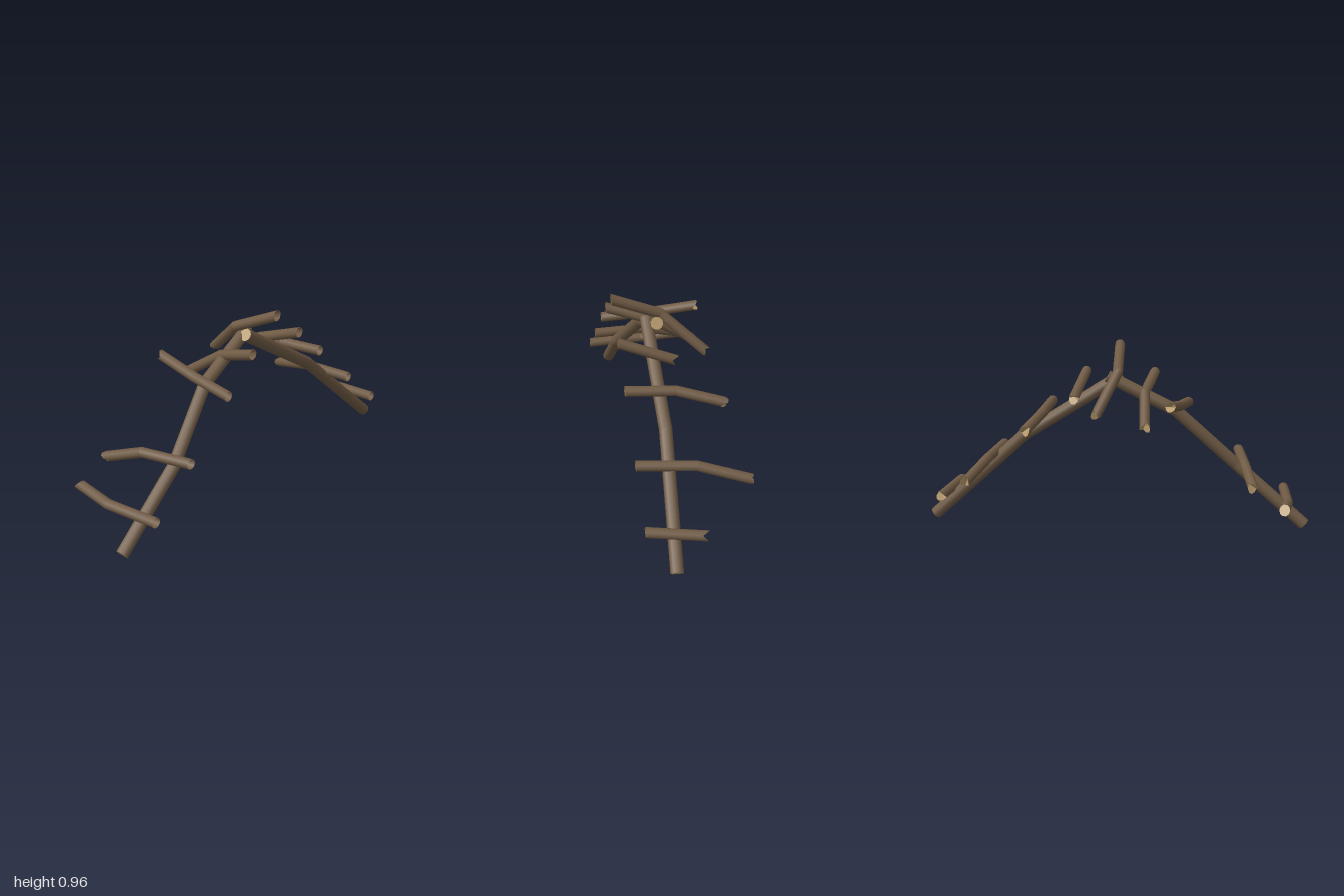
import * as THREE from 'three';

const SIDES = 10;
const bark = new THREE.MeshStandardMaterial({ color: 0x705b45, side: THREE.DoubleSide });
bark.name = 'bark';
const cutWood = new THREE.MeshStandardMaterial({ color: 0xb89b6e, side: THREE.DoubleSide });
cutWood.name = 'cut wood';

// one ring of a pole: round across dir, mitred onto the plane with the given normal
function ring(center, dir, planeNormal, radius, ref, jag) {
  const u = ref.clone().cross(dir).normalize();
  const v = dir.clone().cross(u);
  const points = [], normals = [];
  for (let k = 0; k <= SIDES; k++) {
    const a = (k / SIDES) * Math.PI * 2;
    const n = u.clone().multiplyScalar(Math.cos(a)).addScaledVector(v, Math.sin(a));
    const p = n.clone().multiplyScalar(radius);
    p.addScaledVector(dir, -p.dot(planeNormal) / dir.dot(planeNormal) + (jag ? jag(a) : 0));
    points.push(p.add(center));
    normals.push(n);
  }
  return { points, normals };
}

function capMesh(rim, center, flip) {
  const pos = [];
  for (let k = 0; k < SIDES; k++) {
    const [a, b] = flip ? [rim[k + 1], rim[k]] : [rim[k], rim[k + 1]];
    pos.push(...center.toArray(), ...a.toArray(), ...b.toArray());
  }
  const g = new THREE.BufferGeometry();
  g.setAttribute('position', new THREE.Float32BufferAttribute(pos, 3));
  g.computeVertexNormals();
  const mesh = new THREE.Mesh(g, cutWood);
  mesh.name = 'cutEnd';
  return mesh;
}

// bent pole along a path; options set the start plane, the start cap and the broken end
function pole(name, path, radius, ref, { startNormal, startCap, jag, centerDepth = 0 } = {}) {
  const pts = path.map((p) => new THREE.Vector3(...p));
  const dirs = pts.slice(1).map((p, i) => p.clone().sub(pts[i]).normalize());
  const last = dirs.length - 1;
  const group = new THREE.Group();
  group.name = name;
  const pos = [], nor = [], index = [];
  dirs.forEach((d, i) => {
    const n0 = i ? d.clone().add(dirs[i - 1]).normalize() : startNormal || d;
    const n1 = i < last ? d.clone().add(dirs[i + 1]).normalize() : d;
    const r0 = ring(pts[i], d, n0, radius, ref);
    const r1 = ring(pts[i + 1], d, n1, radius, ref, i === last ? jag : null);
    const base = pos.length / 3;
    for (let k = 0; k <= SIDES; k++) {
      pos.push(...r0.points[k].toArray(), ...r1.points[k].toArray());
      nor.push(...r0.normals[k].toArray(), ...r1.normals[k].toArray());
      if (k < SIDES) {
        const a = base + k * 2;
        index.push(a, a + 2, a + 3, a, a + 3, a + 1);
      }
    }
    if (i === 0 && startCap) group.add(capMesh(r0.points, pts[0], true));
    if (i === last) {
      const c = pts[i + 1].clone().addScaledVector(d, -centerDepth);
      group.add(capMesh(r1.points, c, false));
    }
  });
  const g = new THREE.BufferGeometry();
  g.setAttribute('position', new THREE.Float32BufferAttribute(pos, 3));
  g.setAttribute('normal', new THREE.Float32BufferAttribute(nor, 3));
  g.setIndex(index);
  const mesh = new THREE.Mesh(g, bark);
  mesh.name = 'barkSurface';
  group.add(mesh);
  return group;
}

export function createModel() {
  const model = new THREE.Group();
  model.name = 'brokenTimberFrame';
  const Z = new THREE.Vector3(0, 0, 1), Y = new THREE.Vector3(0, 1, 0);

  // two bent rafters crossing at the ridge
  model.add(pole('rightRafter',
    [[-0.977, 0.025, 0.156], [-0.62, 0.335, 0.156], [-0.31, 0.625, 0.08], [0.035, 0.797, 0.058]],
    0.032, Z, { startCap: true }));
  model.add(pole('leftRafter',
    [[0.977, 0.025, 0.153], [0.48, 0.475, 0.105], [-0.03, 0.795, 0.1]],
    0.032, Z, { startCap: true }));

  // cross poles: sawn flat at the front, snapped at the back
  const F = 0.275;
  const crossPoles = [
    [[-0.87, 0.19, F], [-0.885, 0.182, -0.02], [-0.86, 0.202, -0.258]],
    [[-0.63, 0.39, F], [-0.665, 0.37, -0.005], [-0.71, 0.295, -0.21]],
    [[-0.365, 0.637, F], [-0.335, 0.655, 0.04], [-0.3, 0.69, -0.215]],
    [[-0.187, 0.79, F], [-0.155, 0.715, 0.05], [-0.175, 0.57, -0.165]],
    [[-0.005, 0.932, F], [-0.02, 0.82, 0.03], [0.067, 0.63, -0.182]],
    [[0.175, 0.79, F], [0.205, 0.682, 0.0]],
    [[0.355, 0.632, F], [0.365, 0.61, 0.03], [0.42, 0.55, -0.2]],
    [[0.622, 0.392, F], [0.65, 0.37, -0.01], [0.71, 0.3, -0.262]],
    [[0.86, 0.19, F], [0.905, 0.16, -0.005]],
  ];
  crossPoles.forEach((path, i) => {
    const slanted = i === 0;
    const depth = 0.035, turn = i * 0.9;
    const jag = slanted
      ? (a) => -0.02 * (1 + Math.sin(a))
      : (a) => 0.008 - depth * (1 - Math.abs(Math.cos(a - turn)));
    model.add(pole('crossPole' + (i + 1), path, 0.026, Y,
      { startNormal: Z, jag, centerDepth: slanted ? 0.02 : depth - 0.008 }));
  });
  return model;
}
